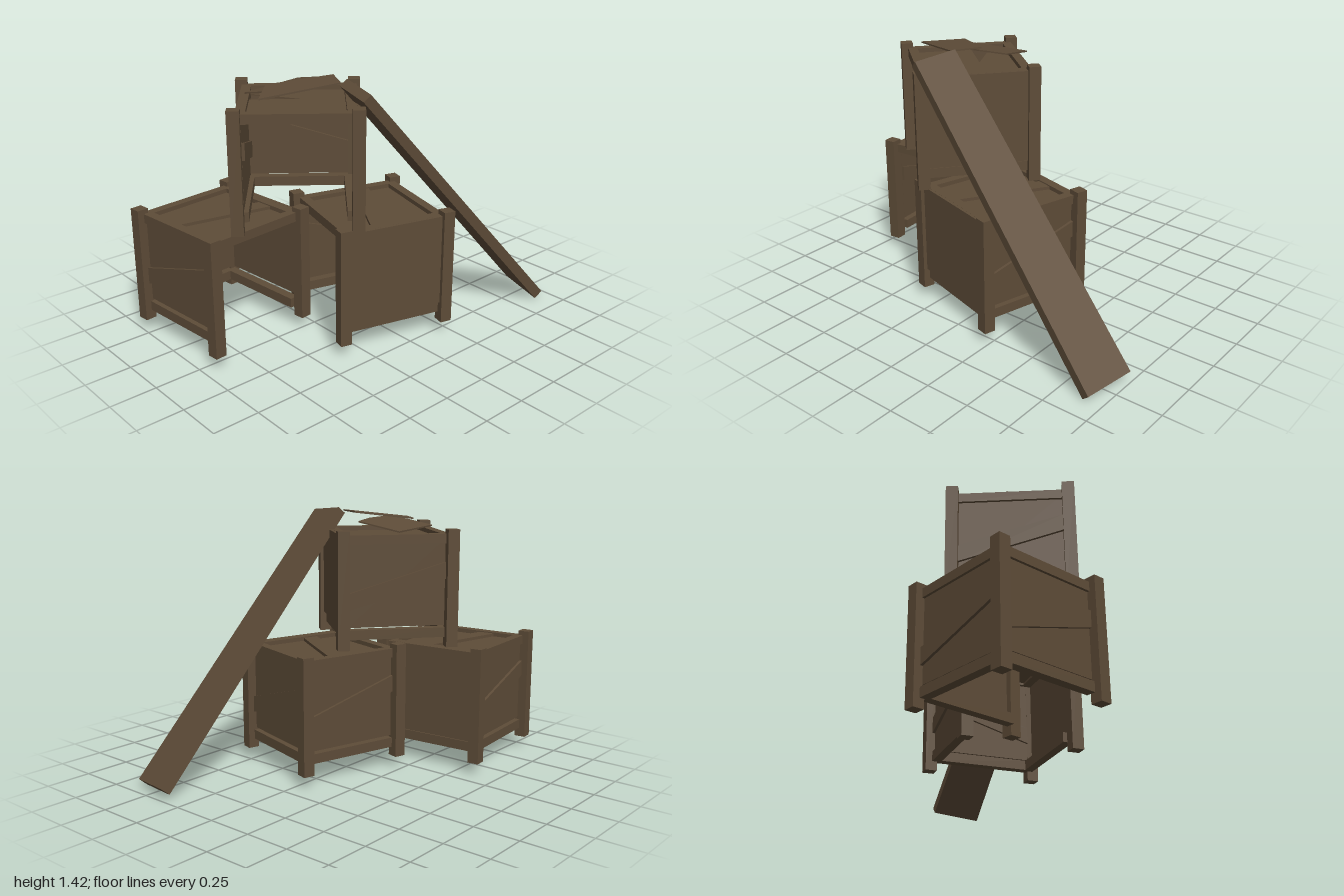
import * as THREE from 'three';

const wood = new THREE.MeshStandardMaterial({ color: 0x5e4c38 });
wood.name = 'agedWood';

function box(parent, name, w, h, d, x, y, z) {
  const mesh = new THREE.Mesh(new THREE.BoxGeometry(w, h, d), wood);
  mesh.name = name;
  mesh.position.set(x, y, z);
  parent.add(mesh);
  return mesh;
}

// Thin board from an x/z outline, lying on the plane y = a + b*x + c*z
function shard(parent, name, outline, [a, b, c]) {
  const shape = new THREE.Shape(outline.map(([x, z]) => new THREE.Vector2(x, -z)));
  const geo = new THREE.ExtrudeGeometry(shape, { depth: 0.008, bevelEnabled: false });
  geo.rotateX(-Math.PI / 2);
  const p = geo.attributes.position;
  for (let i = 0; i < p.count; i++) p.setY(i, p.getY(i) + a + b * p.getX(i) + c * p.getZ(i));
  geo.computeVertexNormals();
  const mesh = new THREE.Mesh(geo, wood);
  mesh.name = name;
  parent.add(mesh);
}

// Sloping board of constant vertical width, standing proud on both faces of a panel
function brace(parent, y, z, slope) {
  const mesh = box(parent, 'diagonalBrace', 0.53, 0.09, 0.044, 0, y, z);
  const p = mesh.geometry.attributes.position;
  for (let i = 0; i < p.count; i++) p.setY(i, p.getY(i) + slope * p.getX(i));
  mesh.geometry.computeVertexNormals();
}

// One side, facing +z before it is turned: 'open', 'plain' or 'braced'
function side(angle, kind) {
  const g = new THREE.Group();
  g.name = kind + 'Side';
  g.rotation.y = angle;
  box(g, 'topRail', 0.53, 0.05, 0.05, 0, 0.585, 0.268);
  if (kind === 'open') return g;
  box(g, 'bottomRail', 0.53, 0.053, 0.05, 0, 0.077, 0.268);
  if (kind === 'plain') {
    box(g, 'sidePanel', 0.53, 0.498, 0.015, 0, 0.361, 0.301);
  } else {
    box(g, 'sidePanel', 0.53, 0.47, 0.014, 0, 0.35, 0.272);
    brace(g, 0.335, 0.272, 0.3);
  }
  return g;
}

// Crate without a floor: open at +z, plain at +x, braced at -z and -x
function crate(name, x, y, z, angle, broken) {
  const g = new THREE.Group();
  g.name = name;
  g.position.set(x, y, z);
  g.rotation.y = angle;
  for (const sx of [-1, 1])
    for (const sz of [-1, 1])
      box(g, 'cornerPost', 0.063, 0.635, 0.063, sx * 0.297, 0.3175, sz * 0.297);
  ['open', 'plain', 'braced', 'braced'].forEach((kind, i) => g.add(side(i * Math.PI / 2, kind)));
  if (broken) {
    // Lid split by a wedge-shaped hole
    shard(g, 'brokenLid', [[-0.27, -0.27], [0.27, -0.27], [0.27, 0.27], [-0.27, 0.27],
      [-0.27, -0.06], [0.02, -0.06], [-0.27, -0.18]], [0.578, 0, 0]);
  } else {
    const lid = new THREE.Group();
    lid.name = 'lid';
    lid.rotation.x = -Math.PI / 2;
    box(lid, 'lidPanel', 0.54, 0.54, 0.014, 0, 0, 0.58);
    brace(lid, 0, 0.582, -0.3);
    g.add(lid);
  }
  return g;
}

// Board spanning two end centres, with its width along a given direction
function leaningPlank() {
  const top = new THREE.Vector3(-0.26, 1.387, 0.345);
  const foot = new THREE.Vector3(0.946, 0.03, 0.501);
  const along = foot.clone().sub(top);
  const length = along.length();
  along.normalize();
  const across = new THREE.Vector3(-0.064, -0.015, 0.235);
  across.addScaledVector(along, -across.dot(along)).normalize();
  const normal = new THREE.Vector3().crossVectors(across, along);
  const geo = new THREE.BoxGeometry(length, 0.05, 0.243);
  // Slightly broader at the foot
  const p = geo.attributes.position;
  for (let i = 0; i < p.count; i++)
    if (p.getX(i) > 0) p.setXYZ(i, p.getX(i), p.getY(i) * 1.13, p.getZ(i) * 1.13);
  geo.computeVertexNormals();
  const mesh = new THREE.Mesh(geo, wood);
  mesh.name = 'leaningPlank';
  mesh.quaternion.setFromRotationMatrix(
    new THREE.Matrix4().makeBasis(along, normal, across));
  mesh.position.copy(top).add(foot).multiplyScalar(0.5);
  return mesh;
}

export function createModel() {
  const model = new THREE.Group();
  model.name = 'crateStack';
  model.add(crate('leftCrate', -0.642, 0.064, -0.285, 0.09, false));
  model.add(crate('rightCrate', 0.013, 0.064, 0.16, -1.84, false));
  model.add(crate('topCrate', -0.338, 0.685, -0.003, -0.685, true));

  // Splintered lid boards lying loose on the top crate
  shard(model, 'looseBoard', [[-0.53, -0.18], [-0.13, -0.255], [-0.08, -0.02], [-0.23, 0.03],
    [-0.47, 0.06]], [1.358, 0.024, 0.183]);
  shard(model, 'looseBoard', [[-0.62, 0.06], [-0.45, -0.11], [-0.17, 0.08], [-0.25, 0.23]],
    [1.408, 0.109, 0.058]);

  model.add(leaningPlank());
  return model;
}
